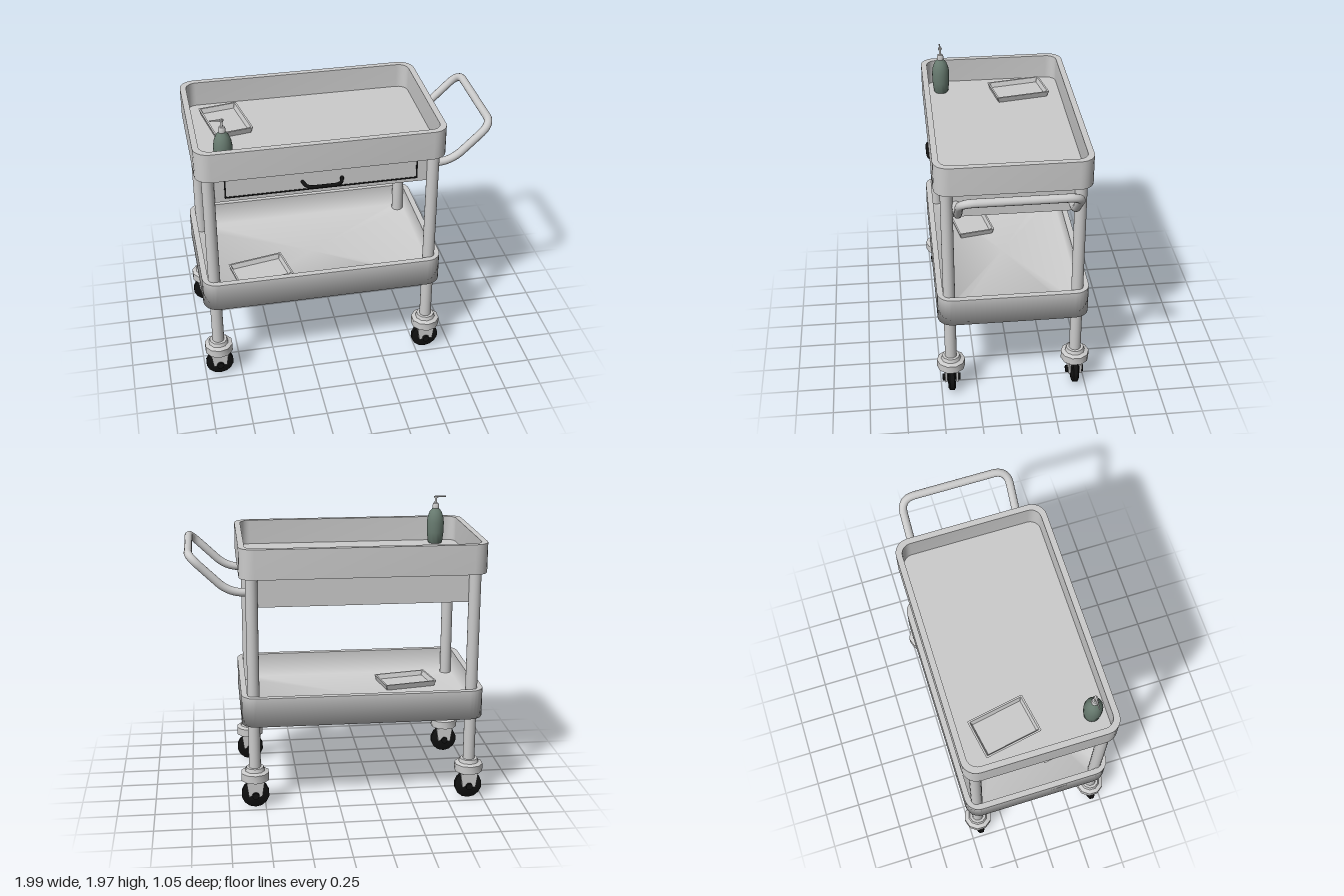
import * as THREE from 'three';
import { mergeVertices, mergeGeometries, toCreasedNormals } from 'three/addons/utils/BufferGeometryUtils.js';

const paint = (color) => new THREE.MeshStandardMaterial({ color });
const grey = paint(0xcccccc);
const black = paint(0x111111);
const green = paint(0x687b70);

const CX = -0.165; // centre of the cart body, the push rail sticks out at +x
const LEG_X = [-0.9, 0.57];
const LEG_Z = [-0.43, 0.43];

function add(parent, name, geometry, material = grey, x = 0, y = 0, z = 0) {
  const mesh = new THREE.Mesh(geometry, material);
  mesh.name = name;
  mesh.position.set(x, y, z);
  parent.add(mesh);
  return mesh;
}

// Rounded rectangle at height y, counter-clockwise from above
function loop([w, d, r, y], seg) {
  const pts = [];
  for (let c = 0; c < 4; c++) {
    const sx = c === 0 || c === 3 ? 1 : -1;
    const sz = c < 2 ? -1 : 1;
    for (let i = 0; i <= seg; i++) {
      const a = (c + i / seg) * Math.PI / 2;
      pts.push([sx * (w / 2 - r) + r * Math.cos(a), y, sz * (d / 2 - r) - r * Math.sin(a)]);
    }
  }
  return pts;
}

// Skin between consecutive loops; a zero-width loop closes to a point
function loft(rings, seg) {
  const pos = [];
  for (let k = 0; k < rings.length - 1; k++) {
    const a = loop(rings[k], seg), b = loop(rings[k + 1], seg);
    for (let i = 0; i < a.length; i++) {
      const j = (i + 1) % a.length;
      if (rings[k][0] > 0) pos.push(...a[i], ...a[j], ...b[j]);
      if (rings[k + 1][0] > 0) pos.push(...a[i], ...b[j], ...b[i]);
    }
  }
  const g = new THREE.BufferGeometry();
  g.setAttribute('position', new THREE.Float32BufferAttribute(pos, 3));
  return g;
}

// Open tray: outside, rim and inside. Soft trays shade smoothly over the bottom edge.
function trayGeometry(w, d, h, r, wall, floor, { flare = 0, soft = false, seg = 6 } = {}) {
  const outTop = [w, d, r, h];
  const inTop = [w - 2 * wall, d - 2 * wall, r * 0.7, h];
  const base = [w - 2 * flare, d - 2 * flare, r, 0];
  const inBase = [base[0] - 2 * wall, base[1] - 2 * wall, r * 0.7, floor];
  const parts = [
    [[0, 0, 0, 0], base, outTop],
    [outTop, inTop],
    [inTop, inBase, [0, 0, 0, floor]],
  ].map((rings) => {
    const g = loft(rings, seg);
    if (!soft) return toCreasedNormals(g, 0.6);
    const m = mergeVertices(g);
    m.computeVertexNormals();
    return m;
  });
  return mergeGeometries(parts);
}

function lathe(points, sides) {
  const g = new THREE.LatheGeometry(points.map(([x, y]) => new THREE.Vector2(x, y)), sides);
  return toCreasedNormals(g, 0.7);
}

// Path through points with each inner corner rounded by the given radius
function roundedPath(points, radius) {
  const p = points.map((q) => new THREE.Vector3(...q));
  const path = new THREE.CurvePath();
  let start = p[0];
  for (let i = 1; i < p.length - 1; i++) {
    const before = p[i].clone().add(p[i - 1].clone().sub(p[i]).setLength(radius));
    const after = p[i].clone().add(p[i + 1].clone().sub(p[i]).setLength(radius));
    path.add(new THREE.LineCurve3(start, before));
    path.add(new THREE.QuadraticBezierCurve3(before, p[i], after));
    start = after;
  }
  path.add(new THREE.LineCurve3(start, p[p.length - 1]));
  return path;
}

function caster() {
  const g = new THREE.Group();
  g.name = 'caster';
  add(g, 'casterCuff', lathe([[0, 0.19], [0.07, 0.19], [0.097, 0.2], [0.097, 0.255], [0.068, 0.265], [0.06, 0.29], [0, 0.29]], 10));
  // Fork: two tapering cheeks notched around the axle
  const cheek = new THREE.Shape();
  cheek.moveTo(-0.062, 0.2);
  cheek.lineTo(-0.045, 0.085);
  cheek.lineTo(-0.022, 0.085);
  cheek.absarc(0, 0.095, 0.024, Math.PI, 0, true);
  cheek.lineTo(0.045, 0.085);
  cheek.lineTo(0.062, 0.2);
  const plate = new THREE.ExtrudeGeometry(cheek, { depth: 0.016, bevelEnabled: false, curveSegments: 6 });
  for (const z of [0.03, -0.046]) add(g, 'casterFork', plate, grey, 0, 0, z);
  // Wheel with a slightly crowned tread, and its axle
  const wheel = lathe([[0, -0.024], [0.08, -0.024], [0.095, -0.015], [0.095, 0.015], [0.08, 0.024], [0, 0.024]], 14);
  add(g, 'casterWheel', wheel.rotateX(Math.PI / 2), black, 0, 0.095, 0);
  add(g, 'casterAxle', new THREE.CylinderGeometry(0.024, 0.024, 0.124, 8).rotateX(Math.PI / 2), black, 0, 0.095, 0);
  return g;
}

function pumpBottle() {
  const g = new THREE.Group();
  g.name = 'pumpBottle';
  const body = [[0, 0], [0.046, 0], [0.052, 0.01], [0.06, 0.08], [0.061, 0.15], [0.055, 0.19], [0.042, 0.225], [0.022, 0.25], [0, 0.252]];
  add(g, 'bottleBody', lathe(body, 20), green);
  add(g, 'bottleCollar', lathe([[0, 0.245], [0.022, 0.245], [0.024, 0.27], [0.018, 0.285], [0, 0.288]], 16));
  add(g, 'pumpStem', new THREE.CylinderGeometry(0.007, 0.009, 0.05, 10), grey, 0, 0.305, 0);
  add(g, 'pumpHead', new THREE.CylinderGeometry(0.015, 0.012, 0.012, 12), grey, 0, 0.328, 0);
  add(g, 'pumpNozzle', new THREE.CylinderGeometry(0.007, 0.004, 0.08, 8).rotateZ(-Math.PI / 2), grey, -0.033, 0.332, 0);
  return g;
}

export function createModel() {
  const cart = new THREE.Group();
  cart.name = 'serviceCart';

  // Trays
  add(cart, 'upperTray', trayGeometry(1.63, 1.02, 0.2, 0.1, 0.04, 0.03), grey, CX, 1.6, 0);
  add(cart, 'lowerTray', trayGeometry(1.63, 1.02, 0.2, 0.1, 0.04, 0.03, { soft: true }), grey, CX, 0.6, 0);

  // Legs and casters
  const leg = new THREE.CylinderGeometry(0.04, 0.04, 1.33, 20);
  for (const x of LEG_X) for (const z of LEG_Z) {
    add(cart, 'leg', leg, grey, x, 0.945, z);
    const c = caster();
    c.position.set(x, 0, z);
    cart.add(c);
  }

  // Drawer box with an outlined front
  add(cart, 'drawerBox', new THREE.BoxGeometry(1.46, 0.2, 0.86), grey, CX, 1.5, 0);
  const rect = (S, w, h) => new S([[-w, -h], [w, -h], [w, h], [-w, h]].map(([x, y]) => new THREE.Vector2(x / 2, y / 2)));
  const outline = rect(THREE.Shape, 1.264, 0.142);
  outline.holes.push(rect(THREE.Path, 1.244, 0.122));
  add(cart, 'drawerOutline', new THREE.ExtrudeGeometry(outline, { depth: 0.004, bevelEnabled: false }), black, CX, 1.495, 0.43);

  // Drawer pull
  const pull = roundedPath([[-0.13, 0, 0], [-0.11, 0, 0.08], [0.11, 0, 0.08], [0.13, 0, 0]], 0.045);
  add(cart, 'drawerPull', new THREE.TubeGeometry(pull, 40, 0.012, 8), black, CX, 1.49, 0.43);

  // Push rail
  const rail = roundedPath([
    [0.53, 1.49, 0.37], [0.71, 1.49, 0.37], [0.97, 1.74, 0.37],
    [0.97, 1.74, -0.37], [0.71, 1.49, -0.37], [0.53, 1.49, -0.37],
  ], 0.1);
  add(cart, 'pushRail', new THREE.TubeGeometry(rail, 120, 0.027, 14));

  // Small dishes, one on each shelf
  const dish = trayGeometry(0.265, 0.385, 0.04, 0.004, 0.012, 0.008, { flare: 0.012, seg: 1 });
  add(cart, 'upperDish', dish, grey, -0.706, 1.631, -0.175).rotation.y = 0.18;
  add(cart, 'lowerDish', dish, grey, -0.557, 0.631, 0.2).rotation.y = Math.PI / 2 + 0.19;

  const bottle = pumpBottle();
  bottle.position.set(-0.785, 1.63, 0.375);
  cart.add(bottle);

  return cart;
}
